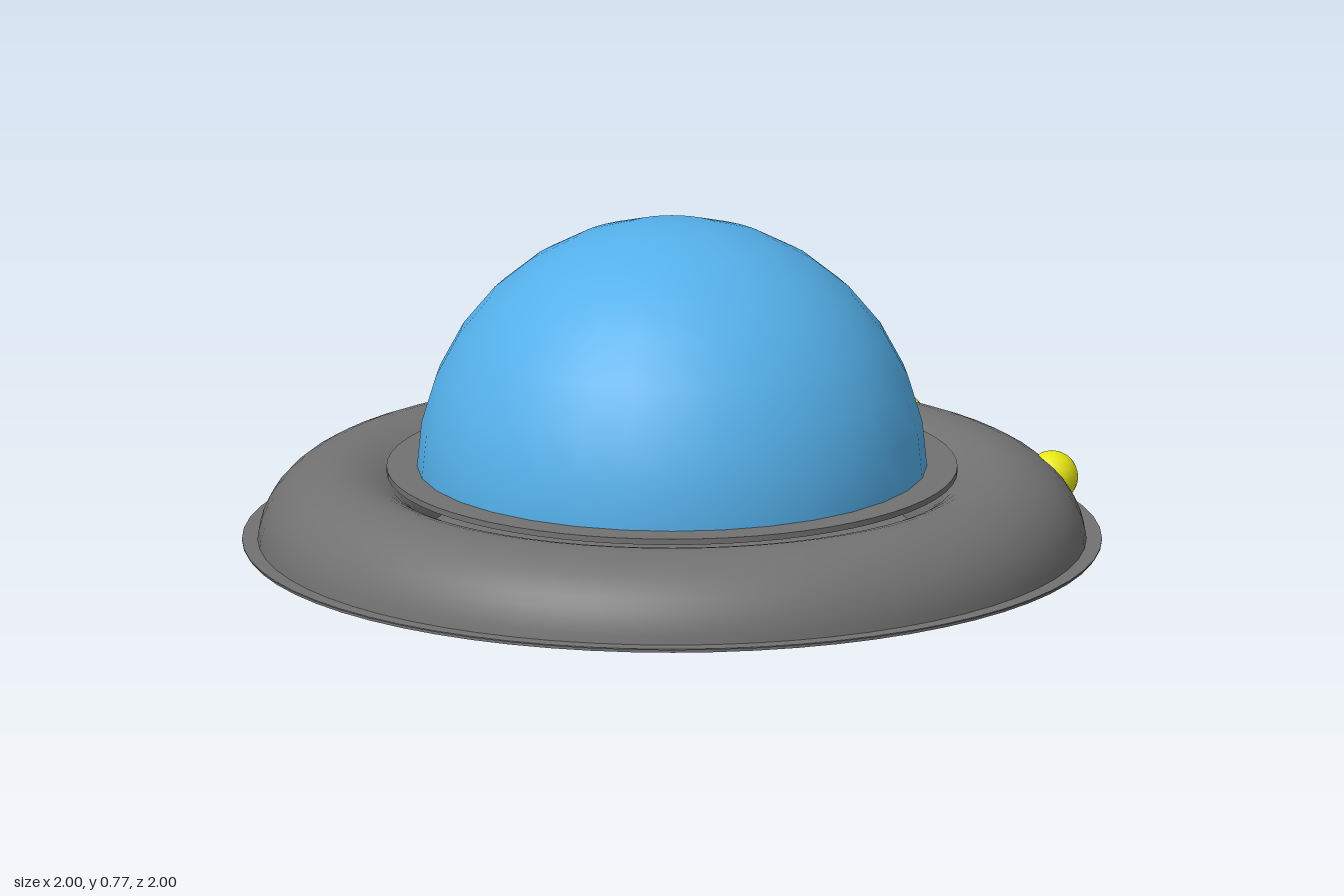
import * as THREE from 'three';

const grey = new THREE.MeshStandardMaterial({ color: 0x727272 });
const greyThin = new THREE.MeshStandardMaterial({ color: 0x727272, side: THREE.DoubleSide });
const blue = new THREE.MeshStandardMaterial({ color: 0x54b0ea, side: THREE.DoubleSide });
const yellow = new THREE.MeshStandardMaterial({ color: 0xe6e612 });

function part(name, geometry, material, x = 0, y = 0, z = 0) {
  const mesh = new THREE.Mesh(geometry, material);
  mesh.name = name;
  mesh.position.set(x, y, z);
  return mesh;
}

export function createModel() {
  const model = new THREE.Group();
  model.name = 'flyingSaucer';
  const seg = 64;

  // Thin base plate forming the brim, with two shallow lips underneath
  model.add(part('brim', new THREE.CylinderGeometry(1, 1, 0.003, seg), grey, 0, 0.0085, 0));
  for (const [name, radius] of [['outerLip', 0.995], ['innerLip', 0.592]]) {
    model.add(part(name, new THREE.CylinderGeometry(radius, radius, 0.009, seg, 1, true), greyThin, 0, 0.0045, 0));
  }

  // Rounded hull: a ring whose tube centre lies just below the brim
  const profile = [];
  const tube = 0.195, drop = 0.01, start = Math.asin(drop / tube);
  for (let i = 0; i <= 20; i++) {
    const a = start + (i / 20) * (Math.PI - 2 * start);
    profile.push(new THREE.Vector2(0.77 + tube * Math.cos(a), tube * Math.sin(a) - drop + 0.001));
  }
  model.add(part('hull', new THREE.LatheGeometry(profile, seg), grey));

  // Flat collar under the dome
  model.add(part('collar', new THREE.CylinderGeometry(0.664, 0.664, 0.014, seg), grey, 0, 0.178, 0));

  // Hemispherical canopy
  const domeGeo = new THREE.SphereGeometry(0.594, 32, 8, 0, Math.PI * 2, 0, Math.PI / 2);
  model.add(part('dome', domeGeo, blue, 0, 0.174, 0));

  // Pair of lamps sunk into the left side of the hull
  for (const [name, z] of [['frontLamp', 0.31], ['rearLamp', -0.33]]) {
    model.add(part(name, new THREE.SphereGeometry(0.061, 20, 14), yellow, 0.856, 0.1, z));
  }

  return model;
}
